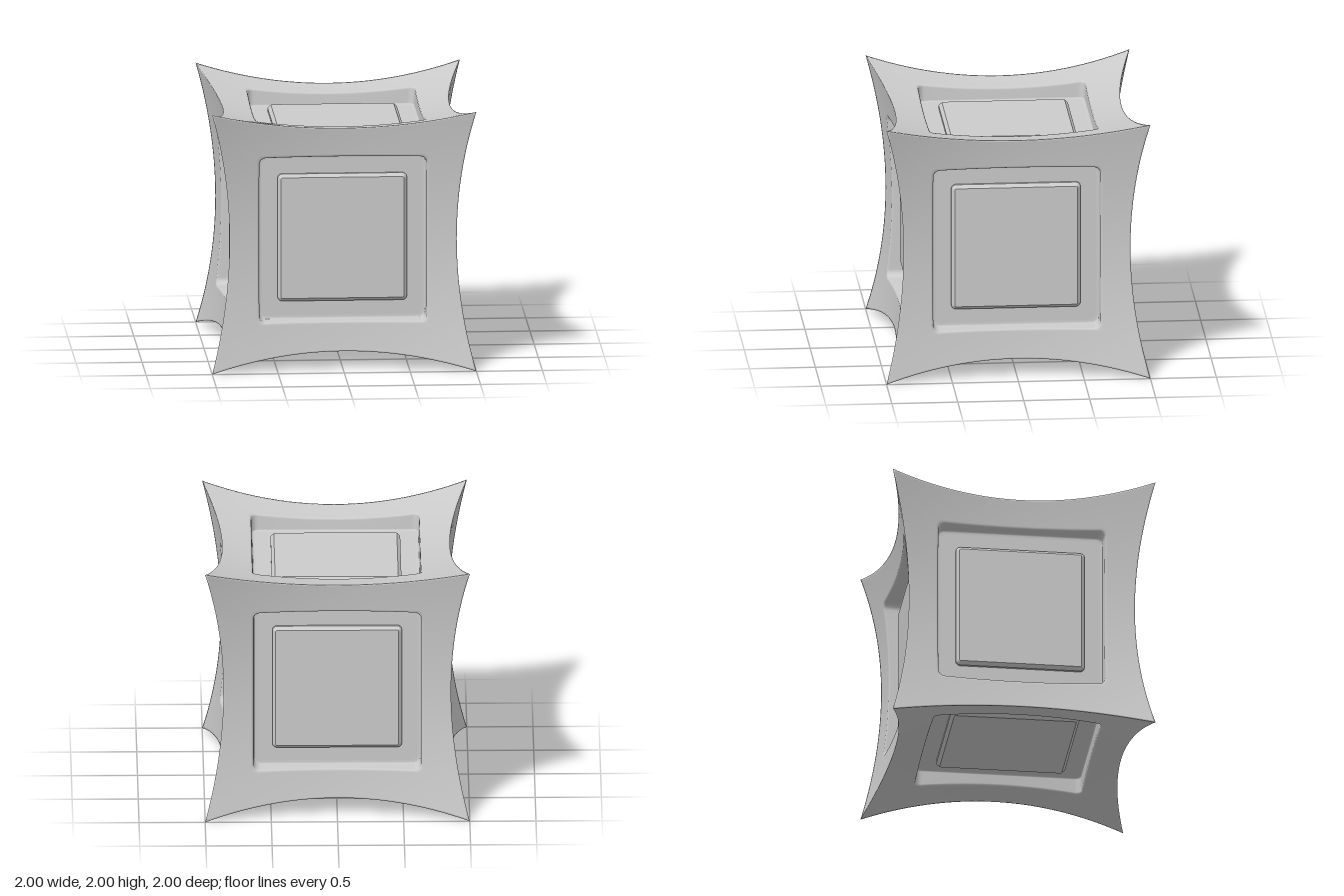
import * as THREE from 'three';
import { mergeVertices, mergeGeometries } from 'three/addons/utils/BufferGeometryUtils.js';

const FLOOR = 0.735, RIM = 0.645, RIM_RADIUS = 0.05;

// Concave cube side: u, v in [-1, 1]; edges bow inwards to 0.86 and corners reach 1
const bow = (t) => 0.86 + 0.14 * t * t;
const sag = (u, v) => 0.79 + 0.07 * (u * u + v * v + u * u * v * v);
const onSide = ([u, v]) => [u * bow(v), v * bow(u), sag(u, v)];

// Surface parameters above a flat position x, y
function paramsAt([x, y]) {
  let u = x, v = y;
  for (let i = 0; i < 20; i++) [u, v] = [x / bow(v), y / bow(u)];
  return [u, v];
}

// Rounded square loop, anticlockwise, always with the same number of points
function roundedSquare(h, r, along = 28, arc = 6) {
  const points = [];
  for (let side = 0; side < 4; side++) {
    const c = Math.cos(side * Math.PI / 2), s = Math.sin(side * Math.PI / 2);
    const add = (x, y) => points.push([x * c - y * s, x * s + y * c]);
    for (let i = 0; i < along; i++) add(h, (h - r) * (2 * i / along - 1));
    for (let i = 0; i < arc; i++) {
      const a = i / arc * Math.PI / 2;
      add(h - r + r * Math.cos(a), h - r + r * Math.sin(a));
    }
  }
  return points;
}

// One side of the shell: bowed border, rounded rim, recess wall and floor
function sideGeometry() {
  const rings = [];
  const outer = roundedSquare(1, 0);
  const rim = roundedSquare(RIM, RIM_RADIUS).map(paramsAt);
  for (const t of [0, 0.05, 0.12, 0.25, 0.4, 0.55, 0.7, 0.85, 0.96, 1]) {
    rings.push(outer.map((p, i) => onSide([
      p[0] + (rim[i][0] - p[0]) * t,
      p[1] + (rim[i][1] - p[1]) * t,
    ])));
  }
  for (const [h, drop] of [[0.638, 0.004], [0.634, 0.014]]) {
    rings.push(roundedSquare(h, RIM_RADIUS).map((p) => [...p, sag(...paramsAt(p)) - drop]));
  }
  for (const [h, z] of [[0.63, FLOOR + 0.012], [0.627, FLOOR + 0.004], [0.618, FLOOR], [0.6, FLOOR], [0.45, FLOOR]]) {
    rings.push(roundedSquare(h, RIM_RADIUS).map((p) => [...p, z]));
  }

  const n = outer.length, index = [];
  for (let k = 0; k < rings.length - 1; k++) {
    for (let i = 0; i < n; i++) {
      const j = (i + 1) % n, a = k * n, b = a + n;
      index.push(a + i, a + j, b + j, a + i, b + j, b + i);
    }
  }
  const geometry = new THREE.BufferGeometry();
  geometry.setAttribute('position', new THREE.Float32BufferAttribute(rings.flat(2), 3));
  geometry.setIndex(index);
  return geometry;
}

// Raised square plate with a chamfered edge
function panelGeometry() {
  const shape = new THREE.Shape(roundedSquare(0.465, 0.012, 1, 3).map((p) => new THREE.Vector2(...p)));
  const geometry = new THREE.ExtrudeGeometry(shape, {
    depth: 0.05, bevelSize: 0.025, bevelThickness: 0.025, bevelSegments: 1,
  });
  return geometry.translate(0, 0, 0.705);
}

export function createModel() {
  const group = new THREE.Group();
  group.name = 'concaveCube';
  const body = new THREE.Group();
  body.name = 'body';
  body.position.y = 1;
  group.add(body);
  const material = new THREE.MeshStandardMaterial({ color: 0xcccccc });

  const q = Math.PI / 2;
  const sides = {
    front: [0, 0], left: [0, q], back: [0, 2 * q], right: [0, -q], top: [-q, 0], bottom: [q, 0],
  };
  const side = sideGeometry(), panel = panelGeometry(), shellSides = [];
  for (const [name, [rx, ry]] of Object.entries(sides)) {
    shellSides.push(side.clone().rotateX(rx).rotateY(ry));
    const plate = new THREE.Mesh(panel, material);
    plate.name = name + 'Panel';
    plate.rotation.set(rx, ry, 0);
    body.add(plate);
  }

  // Six sides welded along the edges for soft shading
  const shellGeometry = mergeVertices(mergeGeometries(shellSides), 1e-4);
  shellGeometry.computeVertexNormals();
  const shell = new THREE.Mesh(shellGeometry, material);
  shell.name = 'shell';
  body.add(shell);
  return group;
}
